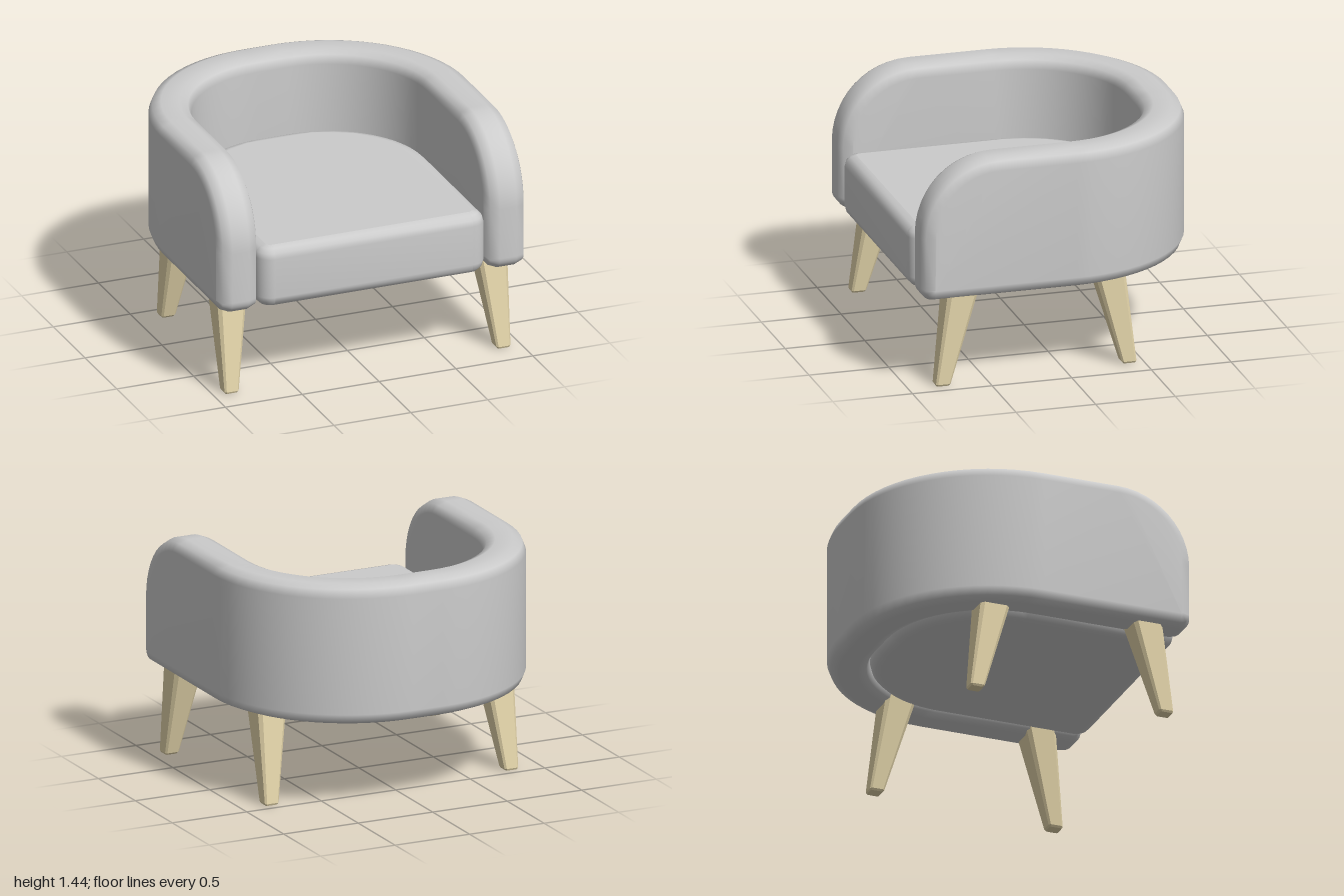
import * as THREE from 'three';
import { mergeVertices } from 'three/addons/utils/BufferGeometryUtils.js';

const fabric = new THREE.MeshStandardMaterial({ color: 0xcccccc });
const wood = new THREE.MeshStandardMaterial({ color: 0xe6d7ac });

const BOTTOM = 0.56, TOP = 1.44, FRONT = 0.93;
const FLAT = 0.1, BEND_Z = -0.035, MID_R = 0.77, HALF_T = 0.13; // plan of the curved shell
const ARC = MID_R * Math.PI / 2;
const LENGTH = FLAT + ARC + FRONT - BEND_Z; // half length of the centre line

// Maps distance s along the U-shaped centre line and outward offset d to the plan.
function place(s, y, d) {
  const a = Math.abs(s), sign = s < 0 ? -1 : 1, r = MID_R + d;
  let x, z;
  if (a < FLAT) { x = a; z = BEND_Z - r; }
  else if (a < FLAT + ARC) {
    const t = (a - FLAT) / MID_R;
    x = FLAT + r * Math.sin(t); z = BEND_Z - r * Math.cos(t);
  } else { x = FLAT + r; z = BEND_Z + a - FLAT - ARC; }
  return [sign * x, y, z];
}

// Upper and lower edge of the padded strip, inset all round, with rounded ends.
function outline(inset) {
  const half = [], ARC_STEPS = 16, END_STEPS = 12, R = 0.48, r = 0.08;
  for (let i = 0; i <= ARC_STEPS; i++) {
    const s = FLAT + ARC * i / ARC_STEPS;
    half.push([s, TOP - inset, s, BOTTOM + inset]);
  }
  for (let i = 0; i <= END_STEPS; i++) {
    const t = i / END_STEPS * Math.PI / 2, sn = Math.sin(t), cs = Math.cos(t);
    half.push([LENGTH - R + (R - inset) * sn, TOP - R + (R - inset) * cs,
      LENGTH - r + (r - inset) * sn, BOTTOM + r - (r - inset) * cs]);
  }
  const all = half.map(([a, b, c, d]) => [-a, b, -c, d]).reverse().concat(half);
  const upper = all.map(p => [p[0], p[1]]);
  const lower = all.map(p => [p[2], p[3]]);
  return upper.concat(lower.reverse());
}

// Arms and back in one: outline loops stacked through the thickness, then capped.
function shellGeometry() {
  const bevel = 0.075, STEPS = 2, layers = [];
  for (let i = 0; i <= STEPS; i++) {
    const t = i / STEPS * Math.PI / 2;
    layers.push([HALF_T - bevel + bevel * Math.sin(t), bevel * (1 - Math.cos(t))]);
  }
  const rings = layers.map(([d, inset]) => [-d, inset]).reverse().concat(layers);
  const pos = [], index = [];
  let n = 0;
  for (const [d, inset] of rings) {
    const loop = outline(inset);
    n = loop.length;
    for (const [s, y] of loop) pos.push(...place(s, y, d));
  }
  const quad = (a, b, c, d) => index.push(a, b, c, a, c, d);
  for (let k = 0; k < rings.length - 1; k++) {
    for (let i = 0; i < n; i++) {
      const j = (i + 1) % n;
      quad(k * n + i, k * n + j, (k + 1) * n + j, (k + 1) * n + i);
    }
  }
  const last = (rings.length - 1) * n;
  for (let i = 0; i < n / 2 - 1; i++) {
    const u = i, v = i + 1, lv = n - 2 - i, lu = n - 1 - i;
    quad(u, lu, lv, v);
    quad(last + u, last + v, last + lv, last + lu);
  }
  // Make the faces point outward whatever the loop direction.
  const P = i => new THREE.Vector3().fromArray(pos, i * 3);
  let volume = 0;
  for (let i = 0; i < index.length; i += 3) {
    volume += P(index[i]).dot(P(index[i + 1]).cross(P(index[i + 2])));
  }
  if (volume < 0) index.reverse();
  const g = new THREE.BufferGeometry();
  g.setAttribute('position', new THREE.Float32BufferAttribute(pos, 3));
  g.setIndex(index);
  g.computeVertexNormals();
  return g;
}

// D-shaped cushion with rounded edges, filling the inside of the shell.
function cushionGeometry() {
  const b = 0.07, w = 0.74 - b, r = 0.64 - b, c = 0.03, f = FRONT - b;
  const shape = new THREE.Shape(); // shape y is -z
  shape.moveTo(-w + c, -f);
  shape.lineTo(w - c, -f);
  shape.absarc(w - c, -f + c, c, -Math.PI / 2, 0);
  shape.lineTo(w, -BEND_Z);
  shape.absarc(FLAT, -BEND_Z, r, 0, Math.PI / 2);
  shape.absarc(-FLAT, -BEND_Z, r, Math.PI / 2, Math.PI);
  shape.lineTo(-w, -f + c);
  shape.absarc(-w + c, -f + c, c, Math.PI, Math.PI * 1.5);
  let g = new THREE.ExtrudeGeometry(shape, {
    depth: 0.39 - 2 * b, bevelSize: b, bevelThickness: b, bevelSegments: 3, curveSegments: 14,
  });
  g.rotateX(-Math.PI / 2);
  g.translate(0, BOTTOM + b, 0);
  g.deleteAttribute('uv');
  g.deleteAttribute('normal');
  g = mergeVertices(g, 1e-4);
  g.computeVertexNormals();
  return g;
}

// Tapered, splayed square leg with chamfered edges.
function legGeometry(topX, topZ, footX, footZ) {
  const e = 0.84, k = 0.7, h = 0.62, b = 0.012;
  const shape = new THREE.Shape([[e, -k], [e, k], [k, e], [-k, e], [-e, k], [-e, -k], [-k, -e], [k, -e]]
    .map(p => new THREE.Vector2(...p)));
  const g = new THREE.ExtrudeGeometry(shape, {
    depth: h - 2 * b, bevelSize: 1 - e, bevelThickness: b, bevelSegments: 1,
  });
  g.rotateX(-Math.PI / 2);
  g.translate(0, b, 0);
  const p = g.attributes.position;
  for (let i = 0; i < p.count; i++) {
    const y = p.getY(i), t = y / BOTTOM;
    const half = THREE.MathUtils.lerp(0.045, 0.093, t);
    p.setXYZ(i, THREE.MathUtils.lerp(footX, topX, t) + p.getX(i) * half, y,
      THREE.MathUtils.lerp(footZ, topZ, t) + p.getZ(i) * half);
  }
  g.computeVertexNormals();
  return g;
}

export function createModel() {
  const group = new THREE.Group();
  group.name = 'tubArmchair';
  const add = (name, geometry, material) => {
    const mesh = new THREE.Mesh(geometry, material);
    mesh.name = name;
    group.add(mesh);
  };
  add('backAndArms', shellGeometry(), fabric);
  add('seatCushion', cushionGeometry(), fabric);
  for (const [side, s] of [['Left', 1], ['Right', -1]]) {
    add('front' + side + 'Leg', legGeometry(s * 0.85, 0.665, s * 0.885, 0.785), wood);
    add('back' + side + 'Leg', legGeometry(s * 0.765, -0.295, s * 0.805, -0.41), wood);
  }
  return group;
}
